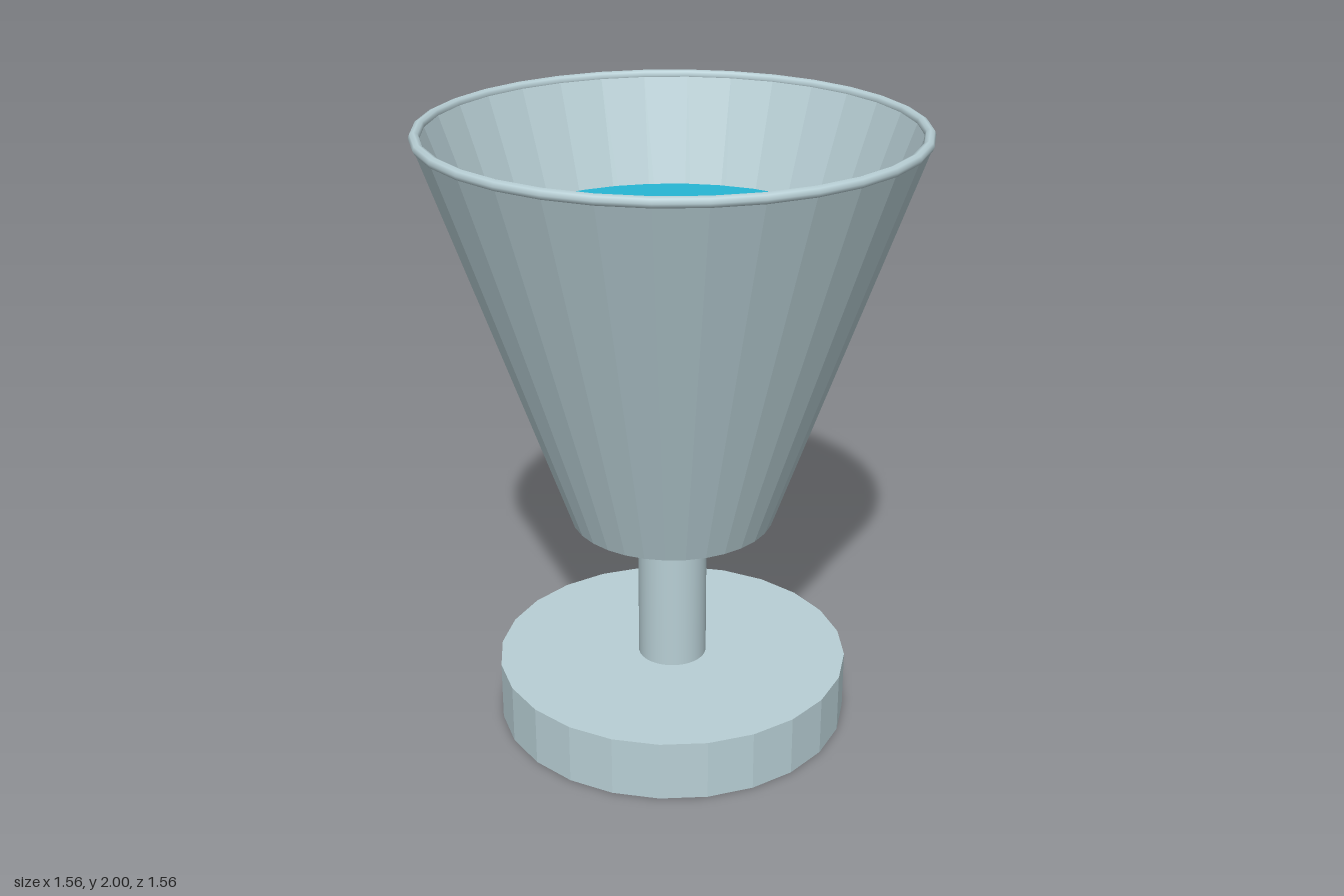
import * as THREE from 'three';

export function createModel() {
  const group = new THREE.Group();
  const metal = new THREE.MeshStandardMaterial({ color: 0xb8cfd5, flatShading: true });
  const smoothMetal = new THREE.MeshStandardMaterial({ color: 0xb8cfd5 });
  const liquidBlue = new THREE.MeshStandardMaterial({ color: 0x27b6d4 });
  metal.name = 'pale metal';
  smoothMetal.name = 'smooth pale metal';
  liquidBlue.name = 'liquid blue';

  const add = (name, geometry, material, x = 0, y = 0, z = 0) => {
    const mesh = new THREE.Mesh(geometry, material);
    mesh.name = name;
    mesh.position.set(x, y, z);
    group.add(mesh);
    return mesh;
  };

  // Foot and stem
  add('base', new THREE.CylinderGeometry(0.58, 0.58, 0.2, 24), metal, 0, 0.1, 0);
  add('stem', new THREE.CylinderGeometry(0.113, 0.113, 0.53, 32), smoothMetal, 0, 0.455, 0);

  // Hollow tapered cup: up the outside, over the lip, down the inside
  const profile = [
    [0, 0.71], [0.33, 0.71], [0.777, 1.985], [0.75, 1.985], [0.31, 0.76], [0, 0.76],
  ].map(([r, y]) => new THREE.Vector2(r, y));
  add('cup', new THREE.LatheGeometry(profile, 32), metal);

  // Rounded lip
  const rim = add('rim', new THREE.TorusGeometry(0.763, 0.017, 8, 32), smoothMetal, 0, 1.983, 0);
  rim.rotation.x = Math.PI / 2;

  // Drink surface with one bubble; the disc reaches the inner wall
  const liquid = add('liquid', new THREE.CircleGeometry(0.6, 32), liquidBlue, 0, 1.65, 0);
  liquid.rotation.x = -Math.PI / 2;
  liquidBlue.side = THREE.DoubleSide;
  add('bubble', new THREE.SphereGeometry(0.042, 16, 12), smoothMetal, 0.158, 1.66, -0.048);

  return group;
}
